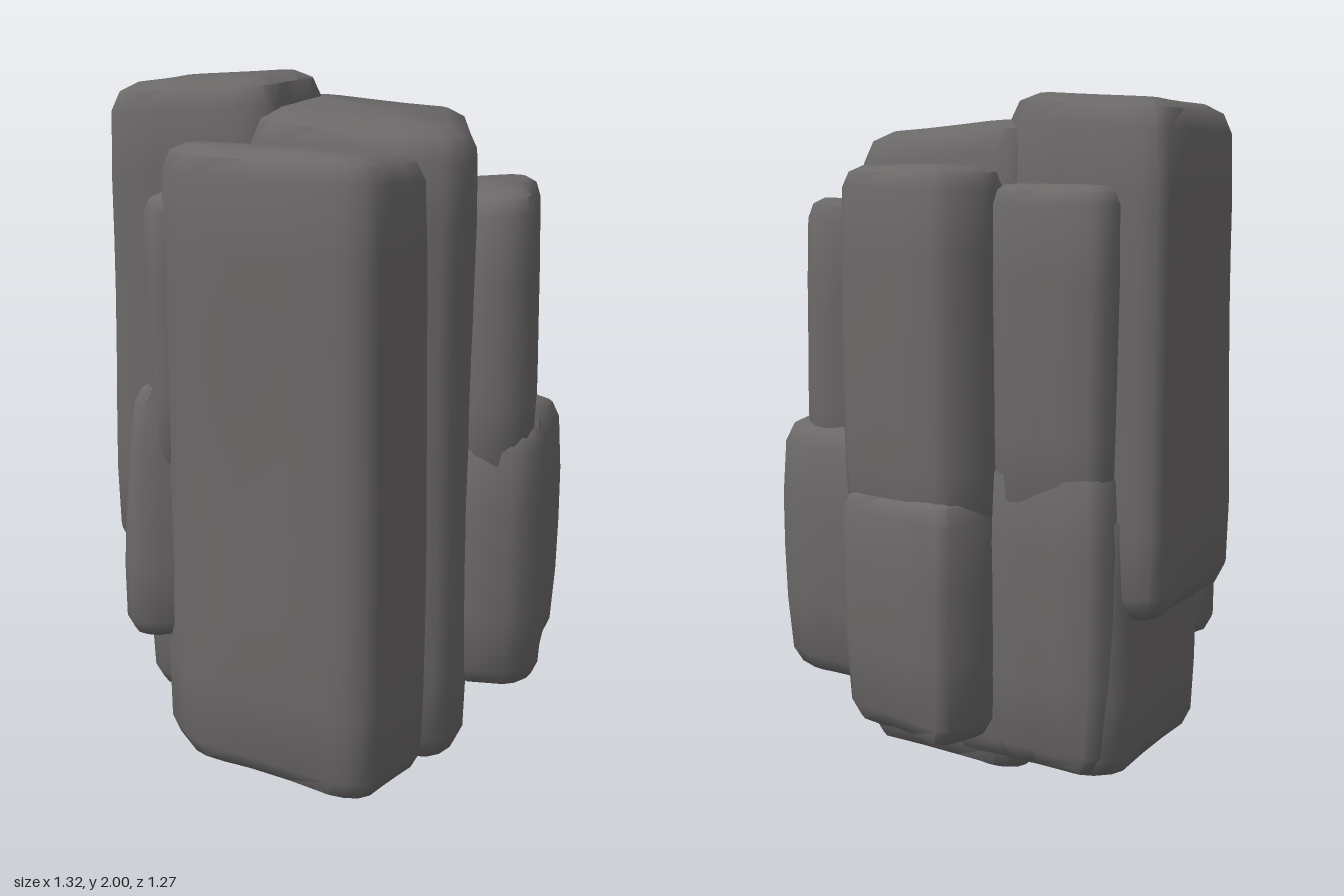
import * as THREE from 'three';
import { toCreasedNormals } from 'three/addons/utils/BufferGeometryUtils.js';

const stone = new THREE.MeshStandardMaterial({ color: 0x6b6868 });
stone.name = 'greyStone';

// Soft, repeatable surface wobble
const wobble = (x, y, z, s) =>
  Math.sin(5 * x + 3.1 * y + s) * 0.5 + Math.sin(4.3 * z - 4.7 * y + 2 * s) * 0.5;

// Outline with trimmed corners and extra points on every long edge
function softenOutline(points) {
  const area = points.reduce((sum, [x, z], i) => {
    const [nx, nz] = points[(i + 1) % points.length];
    return sum + x * nz - nx * z;
  }, 0);
  const loop = area > 0 ? [...points].reverse() : points;
  const out = [];
  loop.forEach((p, i) => {
    const q = loop[(i + 1) % loop.length];
    const length = Math.hypot(q[0] - p[0], q[1] - p[1]);
    const cut = Math.min(0.025, length * 0.25) / length;
    const steps = length > 0.2 ? [cut, 0.35, 0.65, 1 - cut] : [cut, 1 - cut];
    for (const t of steps) out.push([p[0] + (q[0] - p[0]) * t, p[1] + (q[1] - p[1]) * t]);
  });
  return out;
}

// Upright rock slab: footprint [x, z], bottom, top, and optional shaping
function rock(name, footprint, y0, y1, { slopeX = 0, slopeZ = 0, bevel = 0.07, topInset = 0, bottomInset = 0, seed = 0 } = {}) {
  const outline = softenOutline(footprint);
  const n = outline.length;
  const cx = outline.reduce((s, p) => s + p[0], 0) / n;
  const cz = outline.reduce((s, p) => s + p[1], 0) / n;
  const height = y1 - y0;

  // Rows as [height above bottom, inward offset]
  const rows = [[0, bevel * 1.2], [bevel * 0.3, bevel * 0.45], [bevel, bevel * 0.08]];
  const middle = Math.max(2, Math.round(height / 0.22));
  for (let k = 1; k < middle; k++) rows.push([bevel + (height - 2 * bevel) * k / middle, 0]);
  rows.push([height - bevel, bevel * 0.08], [height - bevel * 0.3, bevel * 0.4], [height, bevel * 1.1]);

  const positions = [];
  const index = [];
  for (const [h, inset] of rows) {
    const t = h / height;
    const pull = inset + topInset * t * t + bottomInset * (1 - t) ** 2;
    for (const [px, pz] of outline) {
      const dx = px - cx, dz = pz - cz, d = Math.hypot(dx, dz);
      const k = 1 - (pull - 0.006 * wobble(px, y0 + h, pz, seed)) / d;
      const x = cx + dx * k, z = cz + dz * k;
      positions.push(x, y0 + h + t ** 4 * (slopeX * (x - cx) + slopeZ * (z - cz)), z);
    }
  }
  for (let r = 0; r < rows.length - 1; r++) {
    for (let i = 0; i < n; i++) {
      const a = r * n + i, b = r * n + (i + 1) % n;
      index.push(a, b, b + n, a, b + n, a + n);
    }
  }
  // End caps
  const bottom = positions.length / 3, last = (rows.length - 1) * n;
  positions.push(cx, y0, cz, cx, y1 + 0.005, cz);
  for (let i = 0; i < n; i++) {
    const j = (i + 1) % n;
    index.push(bottom, j, i, bottom + 1, last + i, last + j);
  }
  const geometry = new THREE.BufferGeometry();
  geometry.setAttribute('position', new THREE.Float32BufferAttribute(positions, 3));
  geometry.setIndex(index);
  const mesh = new THREE.Mesh(toCreasedNormals(geometry, 0.75), stone);
  mesh.name = name;
  return mesh;
}

export function createModel() {
  const group = new THREE.Group();
  group.name = 'rockPillar';
  group.add(
    // Central core reaching the ground
    rock('coreColumn', [[0.43, 0.03], [0.32, 0.27], [0.2, 0.49], [0.1, 0.54], [-0.02, 0.48],
      [-0.3, 0.16], [-0.3, 0.02], [0.02, -0.35], [0.09, -0.33]], 0.01, 1.895,
    { slopeX: -0.02, slopeZ: -0.08, bevel: 0.09, seed: 1 }),
    // Wide foot under the tall slab
    rock('backFoot', [[-0.085, -0.59], [-0.19, -0.595], [-0.545, -0.24], [-0.54, -0.14], [-0.19, 0.19], [0.24, -0.25]],
      0.08, 0.9, { bevel: 0.07, seed: 2 }),
    // Tallest slab at the back left
    rock('tallBackSlab', [[-0.27, -0.65], [-0.19, -0.6], [0.06, -0.37], [0.06, -0.2], [-0.22, 0.09],
      [-0.32, 0.07], [-0.635, -0.2], [-0.615, -0.3]], 0.54, 1.985,
    { slopeX: 0.06, slopeZ: 0.02, bevel: 0.08, topInset: 0.015, seed: 3 }),
    // Front left slab
    rock('frontLeftSlab', [[-0.55, -0.03], [-0.55, 0.17], [-0.25, 0.61], [-0.17, 0.65], [0.07, 0.51],
      [0.08, 0.42], [-0.25, 0.05], [-0.47, -0.11]], 0, 1.81,
    { slopeX: -0.02, bevel: 0.07, topInset: 0.015, seed: 4 }),
    // Front right stacked blocks
    rock('frontRightUpperBlock', [[0.42, 0.01], [0.57, 0.1], [0.59, 0.2], [0.39, 0.52], [0.29, 0.54],
      [0.19, 0.47], [0.21, 0.25]], 0.85, 1.69, { slopeX: 0.08, bevel: 0.06, topInset: 0.02, seed: 5 }),
    rock('frontRightLowerBlock', [[0.43, -0.11], [0.64, 0.08], [0.695, 0.22], [0.42, 0.57], [0.31, 0.595],
      [0.16, 0.5], [0.18, 0.18]], 0.22, 1.03,
    { bevel: 0.07, topInset: 0.04, bottomInset: 0.04, seed: 6 }),
    // Back right stacked blocks
    rock('backRightUpperBlock', [[0.14, -0.4], [0.29, -0.43], [0.515, -0.11], [0.45, 0.03], [0.3, 0.08], [0.05, -0.28]],
      0.7, 1.8, { bevel: 0.06, seed: 7 }),
    rock('backRightLowerBlock', [[0.14, -0.41], [0.3, -0.475], [0.535, -0.12], [0.46, 0.02], [0.28, 0.08], [0.05, -0.28]],
      0.15, 0.89, { slopeX: -0.05, bevel: 0.07, bottomInset: 0.02, seed: 8 }),
    // Back slab, split at mid height
    rock('backUpperSlab', [[-0.18, -0.57], [-0.1, -0.615], [0.13, -0.41], [0.12, -0.25], [-0.1, -0.25], [-0.25, -0.45]],
      0.8, 1.75, { bevel: 0.05, seed: 9 }),
    rock('backLowerSlab', [[-0.2, -0.58], [-0.1, -0.635], [0.15, -0.4], [0.14, -0.22], [-0.1, -0.25], [-0.27, -0.45]],
      0.09, 1.02, { bevel: 0.07, topInset: 0.02, bottomInset: 0.02, seed: 10 }),
    // Small ledges on the left
    rock('leftLowerLedge', [[-0.67, -0.11], [-0.58, -0.17], [-0.42, -0.14], [-0.42, 0.08], [-0.57, 0.05], [-0.67, -0.005]],
      0.33, 1.12, { bevel: 0.06, topInset: 0.05, bottomInset: 0.01, seed: 11 }),
    rock('leftUpperLedge', [[-0.58, -0.08], [-0.5, -0.15], [-0.35, -0.1], [-0.4, 0.08], [-0.57, 0.03]],
      0.85, 1.67, { bevel: 0.05, seed: 12 }),
  );
  return group;
}
